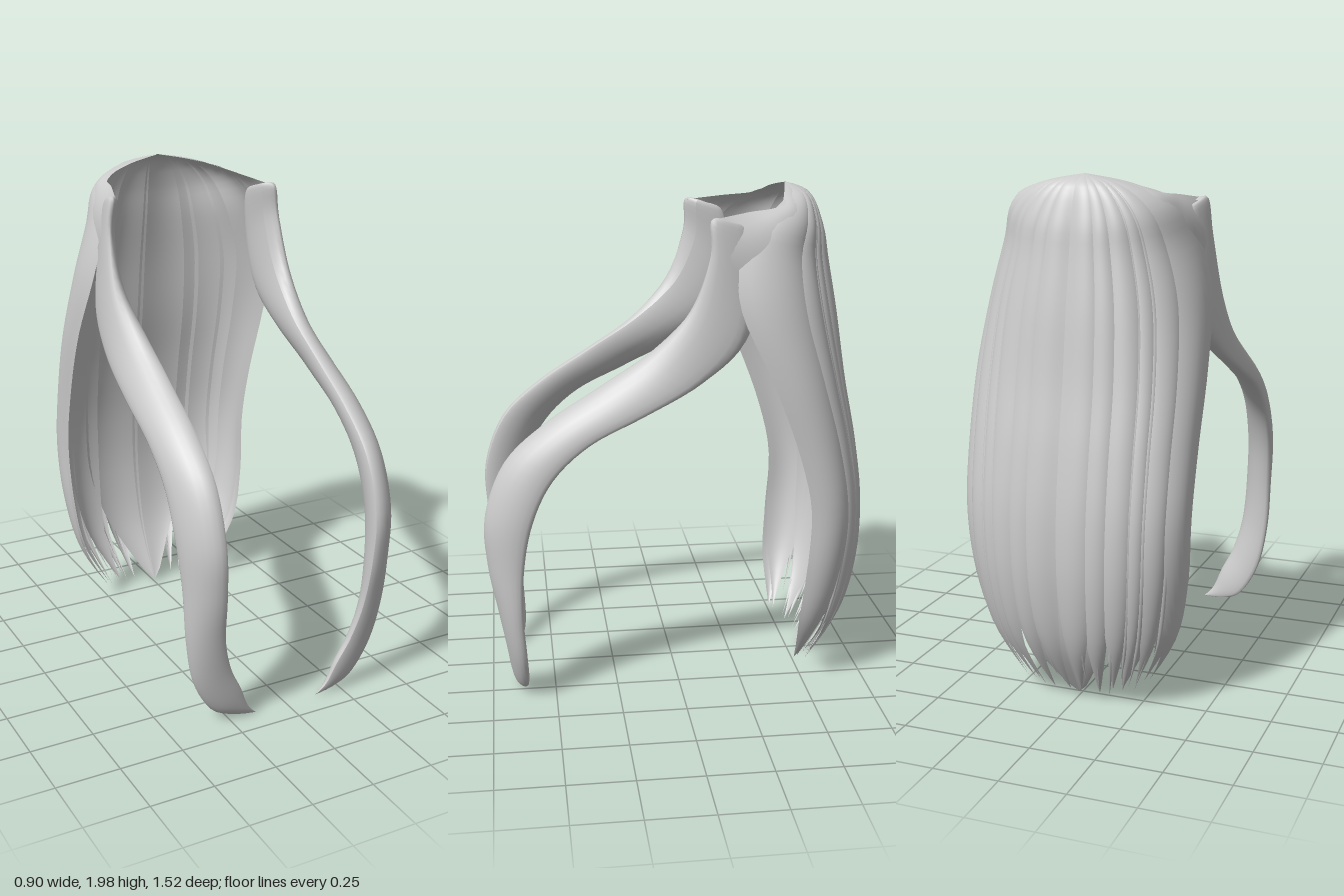
import * as THREE from 'three';

const material = new THREE.MeshStandardMaterial({ color: 0xcccccc, side: THREE.DoubleSide });

// Smooth interpolation through rows of numbers, t in 0..1
function sample(rows, t) {
  const n = rows.length - 1, k = Math.min(Math.floor(t * n), n - 1), f = t * n - k;
  const at = (i) => rows[Math.max(0, Math.min(n, i))];
  return rows[0].map((_, c) => {
    const a = at(k - 1)[c], b = at(k)[c], d = at(k + 1)[c], e = at(k + 2)[c];
    return b + 0.5 * f * (d - a + f * (2 * a - 5 * b + 4 * d - e + f * (3 * (b - d) + e - a)));
  });
}

// Grid surface from a point function of (v down, s across)
function surface(name, nv, ns, point) {
  const pos = [], index = [];
  for (let i = 0; i <= nv; i++) {
    for (let j = 0; j <= ns; j++) {
      pos.push(...point(i / nv, j / ns));
      if (i < nv && j < ns) {
        const a = i * (ns + 1) + j, b = a + ns + 1;
        index.push(a, a + 1, b, a + 1, b + 1, b);
      }
    }
  }
  const geo = new THREE.BufferGeometry();
  geo.setAttribute('position', new THREE.Float32BufferAttribute(pos, 3));
  geo.setIndex(index);
  geo.computeVertexNormals();
  const mesh = new THREE.Mesh(geo, material);
  mesh.name = name;
  return mesh;
}

// Back hair envelope, crown to tips: half width, back z, front z, back y, side y
const SHELL = [
  [0.00, -0.45, -0.45, 1.985, 1.985],
  [0.17, -0.53, -0.42, 1.95, 1.95],
  [0.29, -0.57, -0.34, 1.84, 1.90],
  [0.35, -0.595, -0.22, 1.70, 1.77],
  [0.41, -0.63, -0.21, 1.50, 1.56],
  [0.435, -0.665, -0.33, 1.25, 1.29],
  [0.435, -0.71, -0.44, 1.00, 1.00],
  [0.43, -0.74, -0.495, 0.75, 0.75],
  [0.415, -0.735, -0.47, 0.50, 0.50],
  [0.37, -0.68, -0.44, 0.25, 0.28],
  [0.26, -0.55, -0.455, 0.02, 0.09],
];

// Envelope point: t = 0 at the back centre, +-1 at the front edges
function shellPoint(t, v, offset) {
  const [a, b, f, yb, ys] = sample(SHELL, v);
  const s = Math.sin(t * Math.PI / 2), c = Math.max(0, Math.cos(t * Math.PI / 2));
  return [
    a * Math.sign(s) * Math.abs(s) ** 0.85 + offset * s,
    yb + (ys - yb) * t * t,
    f + (b - f) * c ** 0.85 - offset * c,
  ];
}

// One lock between t0 and t1, arched across; the tip leans towards one edge
function lock(name, t0, t1, lean, offset, bulge, length, taper) {
  const mid = (t0 + t1) / 2, half = (t1 - t0) / 2;
  return surface(name, 44, 10, (v, s) => {
    const u = s * 2 - 1, q = Math.max(0, (v - taper) / (1 - taper));
    const w = 1 - q ** 1.9, fade = Math.min(1, v * 4);
    const h = (offset + bulge * w * (1 - u * u)) * fade;
    return shellPoint(mid + half * (w * u + lean * (1 - w)), v * length, h);
  });
}

// Front strand: front edge z, y; rear edge z, y; inner x, outer x; tilt
const STRAND = [
  [-0.17, 1.88, -0.19, 1.87, 0.32, 0.34, 0],
  [-0.10, 1.885, -0.26, 1.83, 0.30, 0.365, 0],
  [-0.095, 1.76, -0.28, 1.62, 0.315, 0.385, 0],
  [-0.02, 1.56, -0.24, 1.43, 0.32, 0.41, 0],
  [0.13, 1.40, -0.08, 1.29, 0.31, 0.43, 0],
  [0.32, 1.27, 0.15, 1.17, 0.31, 0.445, 0],
  [0.52, 1.14, 0.35, 1.07, 0.31, 0.45, 0],
  [0.68, 0.99, 0.49, 0.94, 0.31, 0.45, 0],
  [0.76, 0.78, 0.57, 0.78, 0.31, 0.45, 0],
  [0.755, 0.58, 0.61, 0.59, 0.305, 0.44, 0],
  [0.72, 0.38, 0.62, 0.39, 0.295, 0.43, -0.01],
  [0.695, 0.22, 0.61, 0.22, 0.26, 0.395, -0.03],
  [0.68, 0.10, 0.605, 0.10, 0.21, 0.32, -0.045],
  [0.665, 0.035, 0.62, 0.035, 0.175, 0.235, -0.02],
  [0.65, 0.005, 0.65, 0.005, 0.135, 0.135, 0],
];

// Ridged lens section, turning from the temple to run from inner front to outer rear
function strand(name, side) {
  return surface(name, 70, 20, (v, s) => {
    const [fz, fy, rz, ry, xi, xo, dy] = sample(STRAND, v);
    const phi = THREE.MathUtils.lerp(1.1, 0.48, THREE.MathUtils.smoothstep(v, 0.1, 0.35));
    const angle = -side * s * Math.PI * 2, sa = Math.sin(angle);
    const long = Math.cos(phi) * Math.cos(angle);
    const thick = Math.sin(phi) * Math.sign(sa) * Math.abs(sa) ** 1.3;
    const a = thick + long, b = thick - long;
    return [
      side * ((xi + xo) / 2 + b * (xo - xi) / 2),
      (fy + ry) / 2 + a * (fy - ry) / 2 + b * dy,
      (fz + rz) / 2 + a * (fz - rz) / 2,
    ];
  });
}

// Panel from crown to temple: front rim x, y, z; lower edge x, y, z
const TEMPLE = [
  [0.00, 1.985, -0.445, 0.00, 1.98, -0.47],
  [0.14, 1.96, -0.415, 0.12, 1.95, -0.48],
  [0.26, 1.92, -0.37, 0.27, 1.88, -0.46],
  [0.295, 1.905, -0.25, 0.35, 1.74, -0.36],
  [0.34, 1.885, -0.11, 0.37, 1.60, -0.22],
];

function templePanel(name, side) {
  return surface(name, 24, 8, (v, s) => {
    const [ax, ay, az, bx, by, bz] = sample(TEMPLE, v);
    const r = side > 0 ? s : 1 - s, arch = 0.02 * Math.sin(r * Math.PI) * v;
    return [side * (ax + (bx - ax) * r + arch), ay + (by - ay) * r + arch, az + (bz - az) * r];
  });
}

export function createModel() {
  const group = new THREE.Group();
  group.name = 'longHair';

  // t0, t1, lean, offset, bulge, length, taper
  const inner = [
    [-0.01, 0.38, -0.95, -0.015, 0.012, 1, 0.74],
    [0.27, 0.7, -0.2, -0.02, 0.014, 0.985, 0.74],
    [0.55, 1, 0.1, -0.012, 0.015, 0.985, 0.72],
  ];
  const outer = [
    [0, 0.16, -0.6, 0.004, 0.014, 0.985, 0.8],
    [0.1, 0.27, 0, 0.0, 0.018, 0.99, 0.8],
    [0.22, 0.4, 0, 0.006, 0.015, 0.975, 0.8],
    [0.34, 0.5, 0, 0.0, 0.018, 0.985, 0.8],
    [0.44, 0.68, 0, 0.004, 0.016, 0.97, 0.76],
    [0.55, 1, 0.6, 0.002, 0.02, 0.995, 0.7],
  ];
  // Thin wisps filling the gaps between the tips
  const wisps = [];
  for (let i = 0; i < 7; i++) {
    const t = 0.06 + i * 0.095;
    wisps.push([t, t + 0.06, 0, 0.006, 0.008, 0.955 + 0.02 * (i % 3), 0.8]);
  }

  for (const side of [1, -1]) {
    const label = side > 0 ? 'left' : 'right';
    Object.entries({ InnerLock: inner, OuterLock: outer, Wisp: wisps }).forEach(([part, list]) =>
      list.forEach(([t0, t1, lean, ...rest], i) => group.add(lock(label + part + (i + 1),
        side > 0 ? t0 : -t1, side > 0 ? t1 : -t0, side * lean, ...rest))));
    group.add(templePanel(label + 'TemplePanel', side));
    group.add(strand(label + 'FrontStrand', side));
  }
  return group;
}
